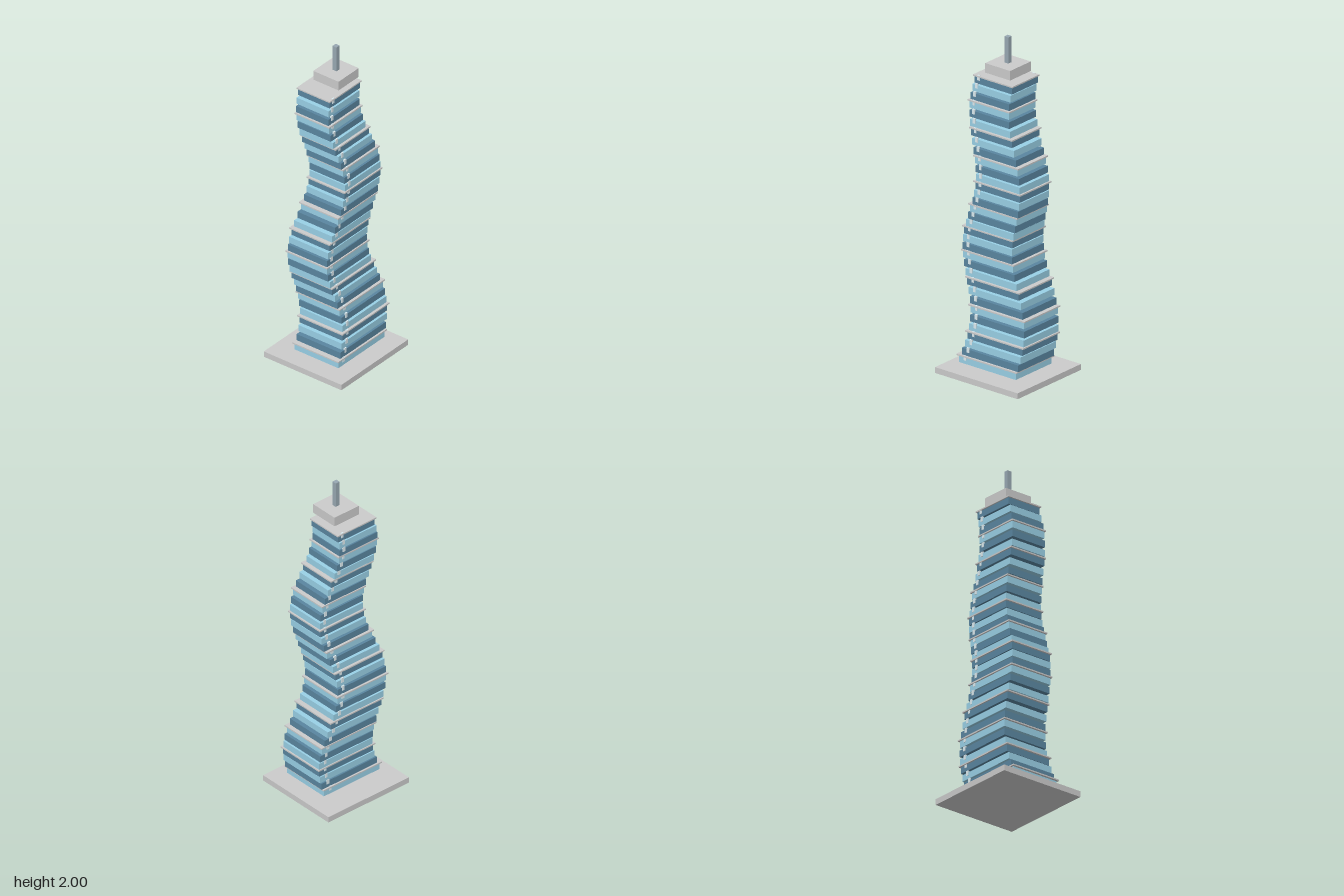
import * as THREE from 'three';

const FLOORS = 34;
const grey = new THREE.MeshStandardMaterial({ color: 0xcccccc });
const lightGlass = new THREE.MeshStandardMaterial({ color: 0x99d0e6 });
const darkGlass = new THREE.MeshStandardMaterial({ color: 0x5a86a0 });
const finMetal = new THREE.MeshStandardMaterial({ color: 0xdcebf0 });
const mastMetal = new THREE.MeshStandardMaterial({ color: 0x98a8b2 });

function box(name, parent, material, [w, h, d], [x, y, z]) {
  const mesh = new THREE.Mesh(new THREE.BoxGeometry(w, h, d), material);
  mesh.name = name;
  mesh.position.set(x, y, z);
  parent.add(mesh);
}

export function createModel() {
  const tower = new THREE.Group();
  tower.name = 'swayingTower';

  box('basePlinth', tower, grey, [0.59, 0.035, 0.546], [0, 0.0175, 0]);

  // Floors taper upwards while their centres sway in x and z
  for (let i = 0; i < FLOORS; i++) {
    const t = i / (FLOORS - 1);
    const w = THREE.MathUtils.lerp(0.407, 0.268, t);
    const d = THREE.MathUtils.lerp(0.31, 0.222, t);

    const floor = new THREE.Group();
    floor.name = `floor${i + 1}`;
    floor.position.set(0.0505 * Math.sin(0.36 * i), 0.08 + 0.0499 * i, 0.0235 * Math.cos(0.28 * i));
    tower.add(floor);

    box('glassBand', floor, i % 2 ? darkGlass : lightGlass, [w, 0.04, d], [0, 0, 0]);

    // Overhanging slab on every third floor
    if (i % 3 === 0) box('slab', floor, grey, [w * 1.055, 0.008, d * 1.055], [0, 0.025, 0]);

    // Small fins at diagonally opposite ends of the front and back
    for (const s of [-1, 1]) {
      box('fin', floor, finMetal, [0.017, 0.03, 0.009], [s * w * 0.39, 0.0165, -s * d * 0.495]);
    }
  }

  // Roof block and mast
  box('roofBlock', tower, grey, [0.178, 0.057, 0.178], [0, 1.8155, 0]);
  box('mast', tower, mastMetal, [0.028, 0.156, 0.028], [0, 1.922, 0]);

  return tower;
}
